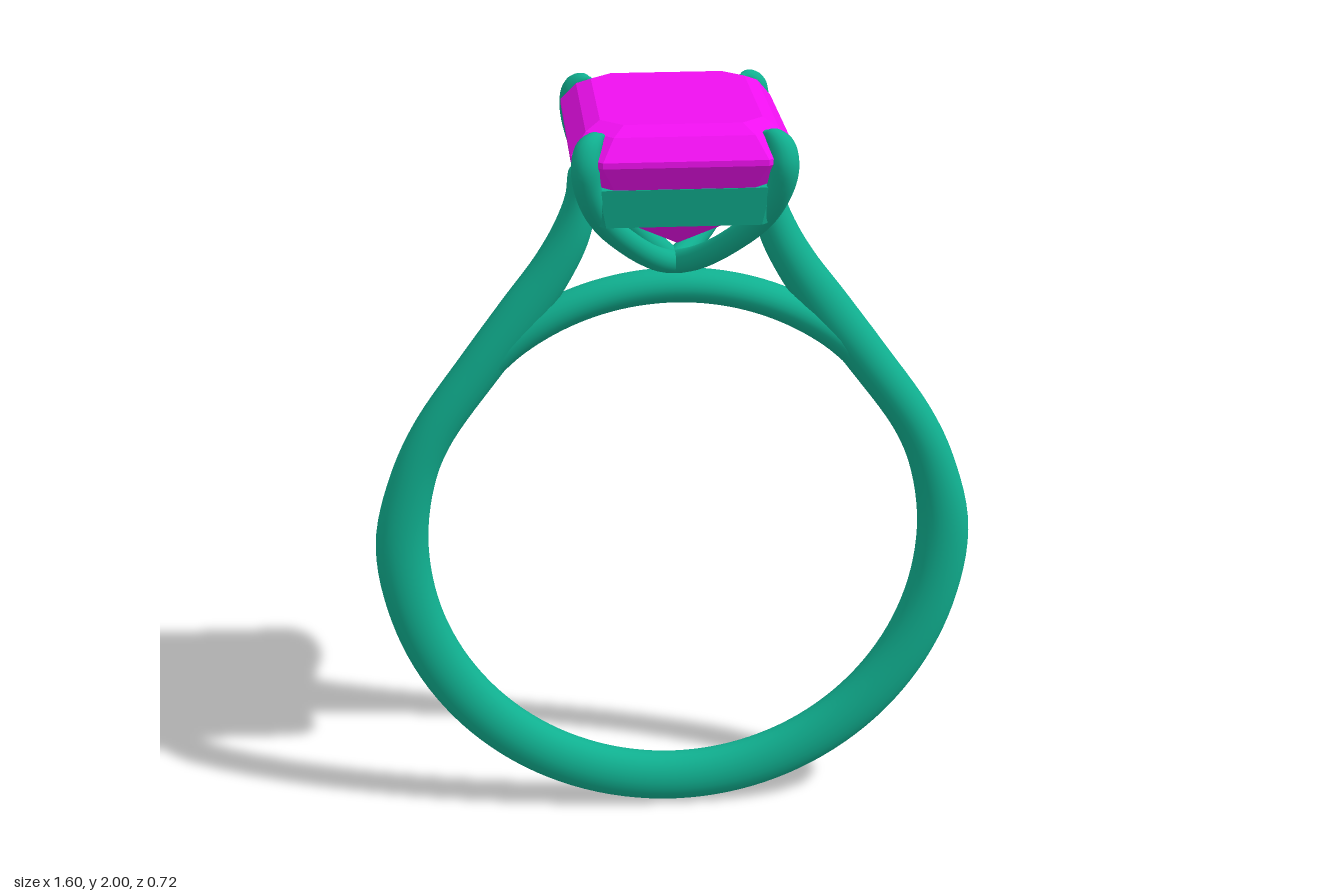
import * as THREE from 'three';

const metal = new THREE.MeshStandardMaterial({ color: 0x10b090 });
const stoneMat = new THREE.MeshStandardMaterial({ color: 0xf010f0 });

function buildGeometry(positions, index) {
  const g = new THREE.BufferGeometry();
  g.setAttribute('position', new THREE.Float32BufferAttribute(positions, 3));
  g.setIndex(index);
  return g;
}

// Smooth elliptical sweep with rounded ends.
// points: [x, y, z, half thickness in the plane, half thickness along binormal]
function sweep(points, binormal, steps, sides = 24) {
  const path = new THREE.CatmullRomCurve3(points.map(p => new THREE.Vector3(p[0], p[1], p[2])));
  const sizes = new THREE.CatmullRomCurve3(
    points.map(p => new THREE.Vector3(p[3], p[4], 0)), false, 'catmullrom', 0.5);
  const rings = [];
  const capSteps = 6;
  for (let k = 0; k < capSteps; k++) rings.push([0, -Math.PI / 2 * (1 - k / capSteps)]);
  for (let i = 0; i <= steps; i++) rings.push([i / steps, 0]);
  for (let k = 1; k <= capSteps; k++) rings.push([1, Math.PI / 2 * k / capSteps]);

  const pos = [], index = [];
  rings.forEach(([t, cap], i) => {
    const size = sizes.getPoint(t), tan = path.getTangent(t);
    const normal = new THREE.Vector3().crossVectors(binormal, tan).normalize();
    const centre = path.getPoint(t).addScaledVector(tan, Math.sin(cap) * Math.min(size.x, size.y));
    const scale = Math.cos(cap);
    for (let j = 0; j < sides; j++) {
      const a = j / sides * Math.PI * 2;
      const v = centre.clone()
        .addScaledVector(normal, Math.cos(a) * size.x * scale)
        .addScaledVector(binormal, Math.sin(a) * size.y * scale);
      pos.push(v.x, v.y, v.z);
      if (i < rings.length - 1) {
        const p = i * sides + j, q = i * sides + (j + 1) % sides;
        index.push(p, q, p + sides, q, q + sides, p + sides);
      }
    }
  });
  const g = buildGeometry(pos, index);
  g.computeVertexNormals();
  return g;
}

// Faceted loft through cut-corner rectangles, listed from top to bottom.
// loops: [y, half width x, half depth z, corner cut]
function facetLoft(loops, capped) {
  const pos = [], index = [];
  loops.forEach(([y, x, z, c], i) => {
    const corners = [[x, z - c], [x, c - z], [x - c, -z], [c - x, -z],
      [-x, c - z], [-x, z - c], [c - x, z], [x - c, z]];
    corners.forEach(([px, pz], j) => {
      pos.push(px, y, pz);
      if (i < loops.length - 1) {
        const p = i * 8 + j, q = i * 8 + (j + 1) % 8;
        index.push(p, p + 8, q, q, p + 8, q + 8);
      }
    });
  });
  if (capped) for (let j = 1; j < 7; j++) index.push(0, j, j + 1);
  const g = buildGeometry(pos, index).toNonIndexed();
  g.computeVertexNormals();
  return g;
}

export function createModel() {
  const group = new THREE.Group();
  const add = (name, geometry, material) => {
    const mesh = new THREE.Mesh(geometry, material);
    mesh.name = name;
    group.add(mesh);
    return mesh;
  };
  const zAxis = new THREE.Vector3(0, 0, 1);
  const centreY = 0.8;

  // Shank: right shoulder, round the bottom, then the mirrored shoulder
  const shoulder = [
    [0.237, 1.8, 0, 0.036, 0.05],
    [0.24, 1.74, 0, 0.041, 0.051],
    [0.266, 1.65, 0, 0.05, 0.053],
    [0.316, 1.555, 0, 0.055, 0.054],
    [0.4, 1.435, 0, 0.06, 0.055],
    [0.51, 1.29, 0, 0.057, 0.055],
    [0.637, 1.11, 0, 0.056, 0.055],
    [0.694, 0.98, 0, 0.06, 0.055],
  ];
  const hoop = [];
  for (let i = 0; i <= 12; i++) {
    const a = -Math.PI * i / 12;
    hoop.push([Math.cos(a) * 0.728, centreY + Math.sin(a) * 0.728, 0, 0.07, 0.055]);
  }
  const mirrored = shoulder.map(([x, ...rest]) => [-x, ...rest]).reverse();
  add('shank', sweep([...shoulder, ...hoop, ...mirrored], zAxis, 160), metal);

  // Arch closing the finger hole under the setting
  const arch = [];
  for (let i = 0; i <= 8; i++) {
    const a = Math.PI * (0.23 + 0.54 * i / 8);
    arch.push([Math.cos(a) * 0.703, centreY + Math.sin(a) * 0.703, 0, 0.045, 0.05]);
  }
  add('arch', sweep(arch, zAxis, 48), metal);

  // Four claws rising from a common base and hooking over the stone corners
  const claw = [
    [0, 1.565, 0, 0.031],
    [0.055, 1.6, 0.073, 0.031],
    [0.125, 1.665, 0.16, 0.031],
    [0.202, 1.76, 0.25, 0.032],
    [0.236, 1.85, 0.308, 0.034],
    [0.242, 1.91, 0.324, 0.036],
    [0.235, 1.952, 0.314, 0.033],
    [0.218, 1.972, 0.298, 0.023],
    [0.203, 1.976, 0.287, 0.011],
  ];
  for (const sx of [1, -1]) {
    for (const sz of [1, -1]) {
      const side = new THREE.Vector3(0.32 * sz, 0, -0.24 * sx).normalize();
      const points = claw.map(([x, y, z, r]) => [x * sx, y, z * sz, r, r]);
      add(`${sz > 0 ? 'front' : 'back'}${sx > 0 ? 'Left' : 'Right'}Claw`, sweep(points, side, 40, 16), metal);
    }
  }

  // Rectangular rail that carries the stone
  add('rail', facetLoft([
    [1.85, 0.24, 0.318, 0.03],
    [1.75, 0.222, 0.298, 0.03],
    [1.75, 0.178, 0.254, 0.02],
    [1.85, 0.195, 0.273, 0.02],
    [1.85, 0.24, 0.318, 0.03],
  ], false), metal);

  // Step-cut stone: table, crown, girdle, pavilion and keel
  add('stone', facetLoft([
    [2.0, 0.2, 0.265, 0.055],
    [1.98, 0.237, 0.31, 0.065],
    [1.93, 0.276, 0.356, 0.075],
    [1.915, 0.276, 0.356, 0.075],
    [1.845, 0.235, 0.312, 0.065],
    [1.75, 0.172, 0.25, 0.045],
    [1.643, 0, 0.085, 0],
  ], true), stoneMat);

  return group;
}
